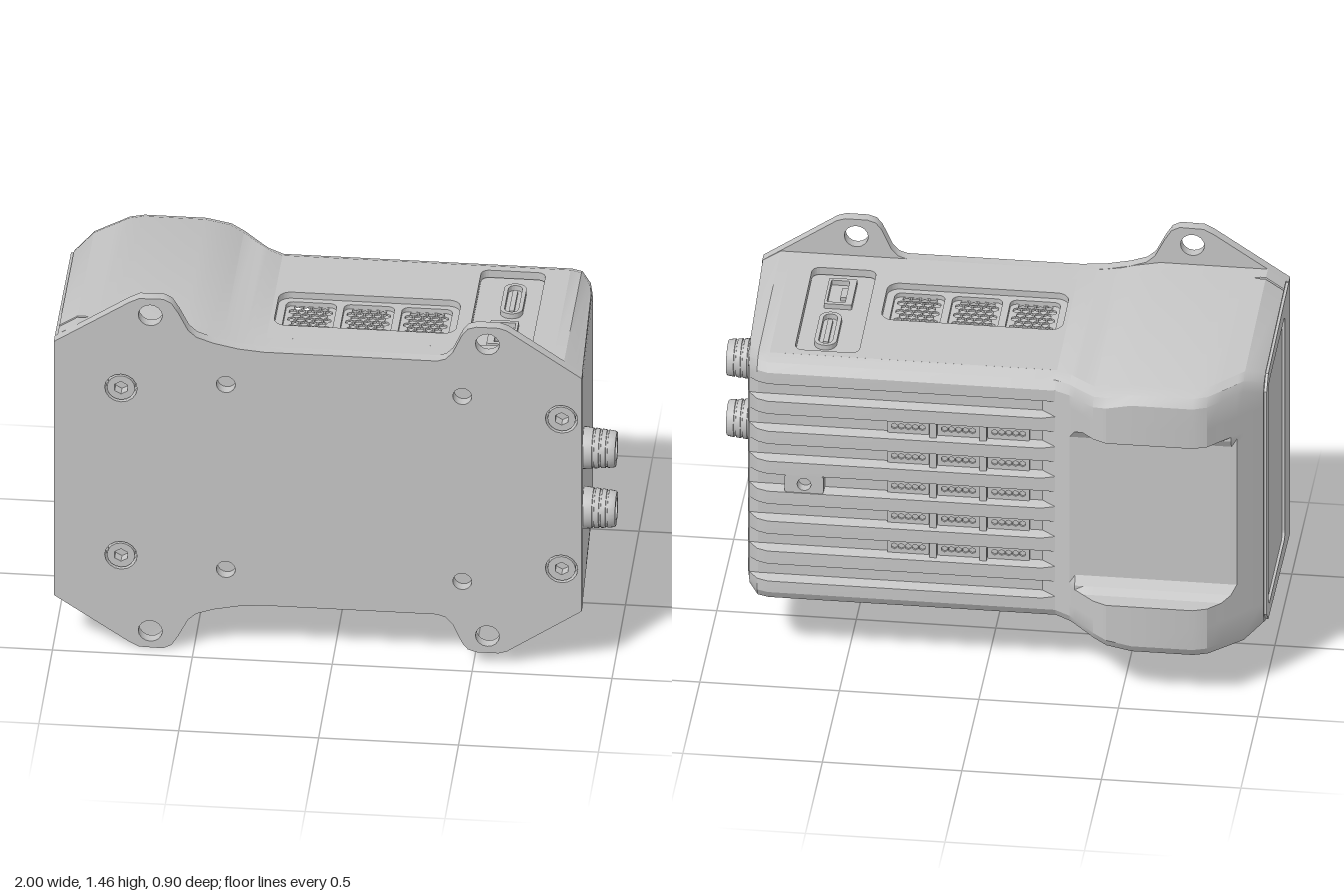
import * as THREE from 'three';
import { toCreasedNormals } from 'three/addons/utils/BufferGeometryUtils.js';

const MID = 0.73; // height of the symmetry plane
const DRAFT = 0.04; // taper of the housing towards its back
const grey = new THREE.MeshStandardMaterial({ color: 0xc4c4c4 });
grey.name = 'housing grey';

function add(parent, name, geometry, x = 0, y = 0, z = 0) {
  const mesh = new THREE.Mesh(geometry, grey);
  mesh.name = name;
  mesh.position.set(x, y, z);
  parent.add(mesh);
  return mesh;
}

// Rounded rectangle centred on cx, cy
function roundRect(cx, cy, w, h, r, Type = THREE.Path) {
  const p = new Type();
  const a = w / 2 - r, b = h / 2 - r;
  p.absarc(cx + a, cy + b, r, 0, Math.PI / 2);
  p.absarc(cx - a, cy + b, r, Math.PI / 2, Math.PI);
  p.absarc(cx - a, cy - b, r, Math.PI, Math.PI * 1.5);
  p.absarc(cx + a, cy - b, r, Math.PI * 1.5, Math.PI * 2);
  p.closePath();
  return p;
}

function circle(x, y, r) {
  const p = new THREE.Path();
  p.absarc(x, y, r, 0, Math.PI * 2);
  return p;
}

function hexagon(x, y, r) {
  const pts = [];
  for (let i = 0; i < 6; i++) {
    const a = (i + 0.5) * Math.PI / 3;
    pts.push(new THREE.Vector2(x + r * Math.cos(a), y + r * Math.sin(a)));
  }
  return new THREE.Path(pts);
}

const polygon = pts => new THREE.Shape(pts.map(p => new THREE.Vector2(...p)));

function extrude(shape, depth, holes = []) {
  shape.holes.push(...holes);
  const g = new THREE.ExtrudeGeometry(shape, { depth, bevelEnabled: false, curveSegments: 8 });
  return toCreasedNormals(g, 0.6);
}

// Honeycomb sheet
function honeycomb(w, h, depth, pitch) {
  const holes = [], row = pitch * 0.866, r = pitch * 0.48;
  const n = Math.ceil(h / row), m = Math.ceil(w / pitch);
  for (let j = -n; j <= n; j++) for (let i = -m; i <= m; i++) {
    const x = (i + (j & 1 ? 0.5 : 0)) * pitch, y = j * row;
    if (Math.abs(x) + r < w / 2 && Math.abs(y) + r < h / 2) holes.push(hexagon(x, y, r));
  }
  return extrude(roundRect(0, 0, w, h, 0.004, THREE.Shape), depth, holes);
}

// Upper half of the housing section as [height above the middle, z]
function halfSection(x, h, zb) {
  const top = z => h - DRAFT * (0.41 - z);
  const n = z => Math.max(z, zb);
  const c = z => n(Math.min(z, 0.345));
  const floor = n(-0.34), groove = x > -0.22 ? n(-0.27) : floor;
  const outer = x > -0.22 ? groove : zb;
  const seam = x < -0.9 ? 0.012 : 0;
  const e = top(c(zb + 0.06));
  const pts = [
    [h, 0.41], [top(n(0.355)), n(0.355)], [top(n(0.35)) - seam, n(0.35)], [top(n(0.345)), n(0.345)],
    [e, c(zb + 0.06)], [e - 0.018, c(zb + 0.02)], [e - 0.05, zb],
    [0.408, zb], [0.398, outer], [0.346, outer], [0.336, zb],
    [0.335, zb], [0.335, n(-0.39)], [0.318, n(-0.36)], [0.285, floor],
  ];
  for (const y of [0.248, 0.124]) {
    pts.push([y + 0.036, floor], [y + 0.026, groove], [y - 0.026, groove], [y - 0.036, floor]);
  }
  pts.push([0.036, floor], [0.026, groove]);
  return pts;
}

// Housing lofted along x: grip hump, ramp, finned back, tapered end
function housingGeometry() {
  const stations = [ // x, half height, back z
    [-0.99, 0.537, -0.25], [-0.925, 0.58, -0.32], [-0.905, 0.58, -0.34], [-0.886, 0.58, -0.36],
    [-0.856, 0.58, -0.39], [-0.81, 0.58, -0.437], [-0.76, 0.58, -0.455],
    [-0.54, 0.58, -0.455], [-0.45, 0.562, -0.455], [-0.4, 0.548, -0.43], [-0.358, 0.541, -0.39],
    [-0.326, 0.536, -0.36], [-0.305, 0.534, -0.34],
    [-0.25, 0.53, -0.31], [-0.2, 0.53, -0.31], [0.78, 0.53, -0.31], [0.82, 0.53, -0.295],
    [0.854, 0.508, -0.25], [0.864, 0.501, -0.2], [0.885, 0.487, 0.4],
  ];
  const rings = stations.map(([x, h, zb]) => {
    const half = halfSection(x, h, zb);
    const up = half.map(([y, z]) => new THREE.Vector3(x, MID + y, z));
    const down = half.map(([y, z]) => new THREE.Vector3(x, MID - y, z)).reverse();
    return [...up, ...down];
  });
  const out = [], N = rings[0].length, tri = new THREE.Triangle();
  const face = (a, b, c) => {
    tri.set(a, b, c);
    if (tri.getArea() > 1e-8) out.push(...a.toArray(), ...b.toArray(), ...c.toArray());
  };
  for (let i = 0; i + 1 < rings.length; i++) {
    const A = rings[i], B = rings[i + 1];
    const overPanel = A[0].x >= -0.25 && B[0].x <= 0.78;
    for (let j = 0; j < N; j++) {
      // openings for the top and bottom panels
      if (overPanel && (j === 3 || j === N - 5)) continue;
      const k = (j + 1) % N;
      face(A[j], B[j], B[k]);
      face(A[j], B[k], A[k]);
    }
  }
  const first = rings[0], last = rings[rings.length - 1];
  const c0 = new THREE.Vector3(-0.99, MID, 0.1), c1 = new THREE.Vector3(0.885, MID, 0.405);
  for (let j = 0; j < N; j++) {
    face(c0, first[j], first[(j + 1) % N]);
    face(c1, last[(j + 1) % N], last[j]);
  }
  const g = new THREE.BufferGeometry();
  g.setAttribute('position', new THREE.Float32BufferAttribute(out, 3));
  return toCreasedNormals(g, 0.45);
}

// Panel with recessed vents; s is -1 on top and 1 underneath (local y = s * z)
function ventPanel(s, ports) {
  const g = new THREE.Group();
  g.name = ports ? 'topPanel' : 'bottomPanel';
  g.position.y = MID - s * (0.53 - DRAFT * 0.41);
  g.rotation.x = s * (Math.PI / 2 + DRAFT);
  const holes = [roundRect(0.09, s * 0.13, 0.65, 0.24, 0.045)];
  if (ports) holes.push(roundRect(0.58, s * 0.05, 0.23, 0.54, 0.03));
  const shape = roundRect(0.265, s * 0.0475, 1.03, 0.596, 0.001, THREE.Shape);
  add(g, 'panelSkin', extrude(shape, 0.03, holes), 0, 0, -0.03);
  const xs = [-0.117, 0.09, 0.297];
  const frame = roundRect(0.09, s * 0.13, 0.67, 0.26, 0.04, THREE.Shape);
  add(g, 'ventFrame', extrude(frame, 0.02, xs.map(x => roundRect(x, s * 0.13, 0.18, 0.19, 0.025))), 0, 0, -0.045);
  for (const x of xs) add(g, 'ventMesh', honeycomb(0.19, 0.2, 0.008, 0.032), x, s * 0.13, -0.05);
  add(g, 'ventBacking', new THREE.BoxGeometry(0.66, 0.25, 0.005), 0.09, s * 0.13, -0.08);
  if (ports) {
    const floor = roundRect(0.58, s * 0.05, 0.25, 0.56, 0.03, THREE.Shape);
    add(g, 'portFloor', extrude(floor, 0.01), 0, 0, -0.045);
    const pill = roundRect(0.595, 0.05, 0.08, 0.22, 0.039, THREE.Shape);
    add(g, 'pillSocket', extrude(pill, 0.02, [roundRect(0.595, 0.05, 0.05, 0.19, 0.024)]), 0, 0, -0.035);
    add(g, 'pillTongue', new THREE.BoxGeometry(0.018, 0.15, 0.015), 0.595, 0.05, -0.03);
    const square = roundRect(0.58, -0.195, 0.1, 0.17, 0.006, THREE.Shape);
    add(g, 'squareSocket', extrude(square, 0.02, [roundRect(0.588, -0.195, 0.065, 0.14, 0.004)]), 0, 0, -0.035);
    add(g, 'socketLatch', new THREE.BoxGeometry(0.025, 0.06, 0.015), 0.565, -0.195, -0.028);
  }
  return g;
}

// Mounting plate with four ears
function plateGeometry() {
  const top = [[-1, 1.26], [-0.73, 1.44], [-0.695, 1.458], [-0.61, 1.46], [-0.58, 1.445], [-0.555, 1.405],
    [-0.52, 1.335], [-0.49, 1.308], [-0.43, 1.287], [-0.34, 1.268], [-0.25, 1.26], [0.37, 1.26], [0.4, 1.27],
    [0.425, 1.297], [0.46, 1.375], [0.48, 1.4], [0.51, 1.41], [0.59, 1.41], [0.62, 1.4], [0.887, 1.217]];
  const holes = [];
  for (const m of [1, -1]) {
    const at = (x, y, r) => holes.push(circle(x, MID + m * y, r));
    at(-0.655, 0.66, 0.043); at(0.55, 0.61, 0.043); // ear holes
    at(-0.385, 0.387, 0.034); at(0.46, 0.387, 0.034); // locating holes
    at(-0.76, 0.35, 0.058); at(0.815, 0.313, 0.058); // screw pockets
  }
  return extrude(polygon([...top, ...top.map(([x, y]) => [x, 2 * MID - y]).reverse()]), 0.04, holes);
}

export function createModel() {
  const model = new THREE.Group();
  model.name = 'mountedHousing';
  add(model, 'housing', housingGeometry());
  add(model, 'mountingPlate', plateGeometry(), 0, 0, 0.41);
  model.add(ventPanel(-1, true), ventPanel(1, false));

  // Raised frame round the recessed end panel
  const side = [[0.41, 0.53], [-0.19, 0.508], [-0.24, 0.46]];
  const frame = polygon([...side.map(([z, y]) => [z, MID + y]), ...side.map(([z, y]) => [z, MID - y]).reverse()]);
  const end = add(model, 'endFrame', extrude(frame, 0.01, [roundRect(0.06, MID, 0.48, 0.92, 0.03)]), -0.99);
  end.rotation.y = -Math.PI / 2;

  // Socket screws in the plate
  for (const m of [1, -1]) for (const [x, y] of [[-0.76, 0.35], [0.815, 0.313]]) {
    const head = new THREE.Shape();
    head.absarc(0, 0, 0.05, 0, Math.PI * 2);
    add(model, 'plateScrew', extrude(head, 0.038, [hexagon(0, 0, 0.026)]), x, MID + m * y, 0.41);
  }

  // Round cable connectors on the right-hand end
  const profile = [[0, 0.06], [0.038, 0.06], [0.04, 0.12], [0.062, 0.12], [0.065, 0.116]];
  for (let i = 2; i >= 0; i--) {
    const u = 0.035 + i * 0.024, r = 0.076 - u * 0.09;
    profile.push([r, u + 0.01], [r - 0.004, u + 0.009], [r - 0.004, u + 0.003], [r, u + 0.002]);
  }
  profile.push([0.076, 0.01], [0.076, -0.03]);
  const pts = profile.map(p => new THREE.Vector2(...p)).reverse();
  for (const y of [0.855, 0.605]) {
    const c = add(model, 'connector', toCreasedNormals(new THREE.LatheGeometry(pts, 32), 0.5), 0.88, y, 0.33);
    c.rotation.z = -Math.PI / 2;
  }

  // Mesh inserts and posts in the back grooves
  const insert = honeycomb(0.15, 0.054, 0.008, 0.025);
  for (let k = -2; k <= 2; k++) {
    const y = MID + k * 0.124;
    for (const x of [-0.08, 0.1, 0.28]) add(model, 'grooveMesh', insert, x, y, -0.272).rotation.y = Math.PI;
    for (const x of [0.01, 0.19]) add(model, 'groovePost', new THREE.BoxGeometry(0.025, 0.06, 0.03), x, y, -0.28);
  }

  // Screw pad in the middle groove
  const pad = roundRect(0, 0, 0.14, 0.07, 0.01, THREE.Shape);
  add(model, 'screwPad', extrude(pad, 0.045, [circle(0, 0, 0.025)]), 0.65, MID, -0.263).rotation.y = Math.PI;
  return model;
}
